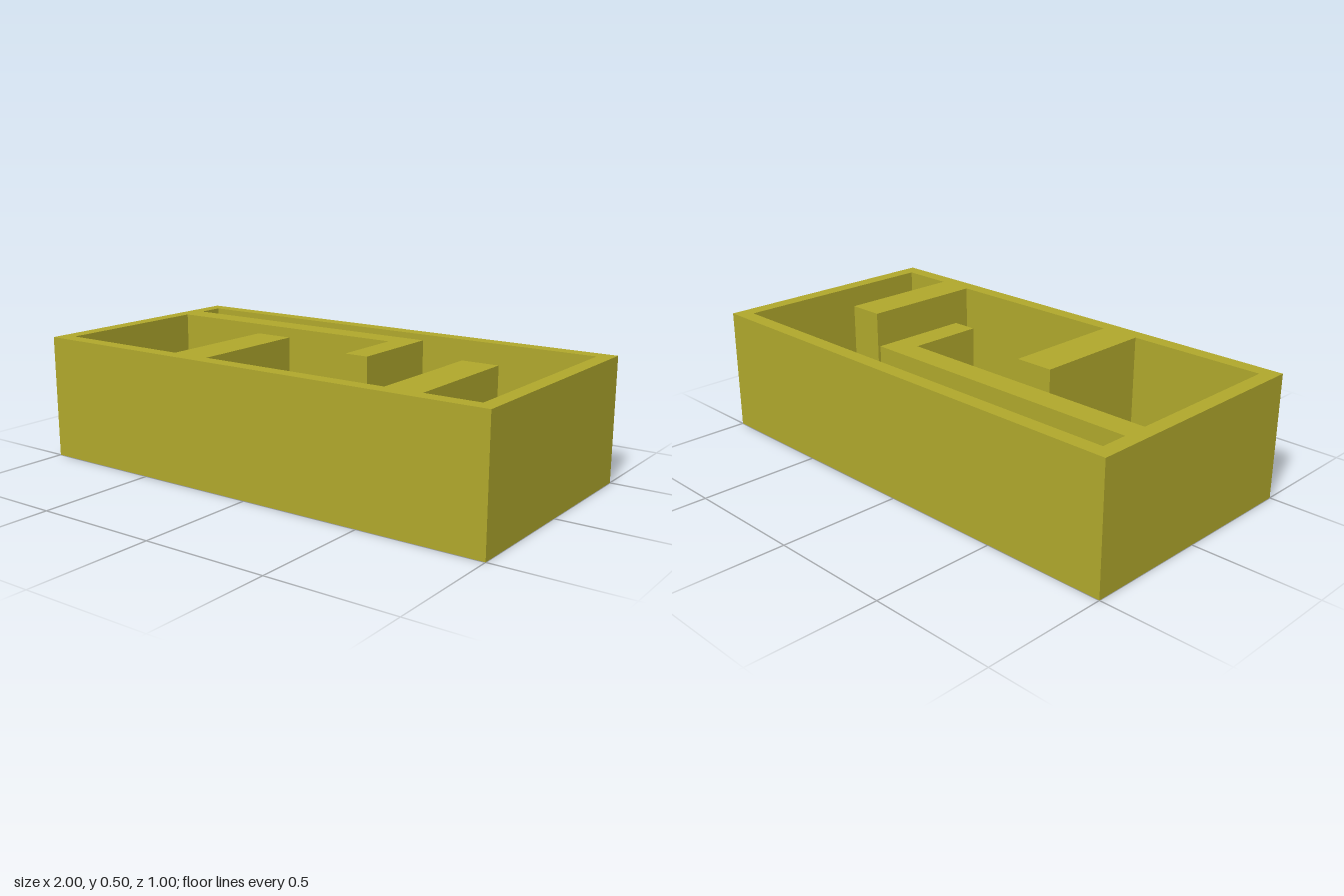
import * as THREE from 'three';

const HEIGHT = 0.5;

// Floor plan points are [x, z]; the extrusion is then turned upright.
const toPlan = (points) => points.map(([x, z]) => new THREE.Vector2(x, -z));

export function createModel() {
  const group = new THREE.Group();
  group.name = 'mazeBlock';
  const olive = new THREE.MeshStandardMaterial({ color: 0xb0a82c });
  olive.name = 'olive yellow';

  // Outer rectangle
  const plan = new THREE.Shape(toPlan([[-1, 0.5], [1, 0.5], [1, -0.5], [-1, -0.5]]));

  // Open interior, leaving the partitions standing
  plan.holes.push(new THREE.Path(toPlan([
    [-0.94, -0.44], [0.94, -0.44], [0.94, 0.44],
    // right partition
    [0.72, 0.44], [0.72, -0.08], [0.57, -0.08], [0.57, 0.44],
    // left partition
    [-0.22, 0.44], [-0.22, -0.06], [-0.38, -0.06], [-0.38, 0.44],
    [-0.94, 0.44],
    // L-shaped partition
    [-0.94, -0.23], [0.15, -0.23], [0.15, 0.07], [0.25, 0.07], [0.25, -0.33], [-0.94, -0.33],
  ])));

  const geometry = new THREE.ExtrudeGeometry(plan, { depth: HEIGHT, bevelEnabled: false });
  geometry.rotateX(-Math.PI / 2);
  const walls = new THREE.Mesh(geometry, olive);
  walls.name = 'walls';
  group.add(walls);
  return group;
}
